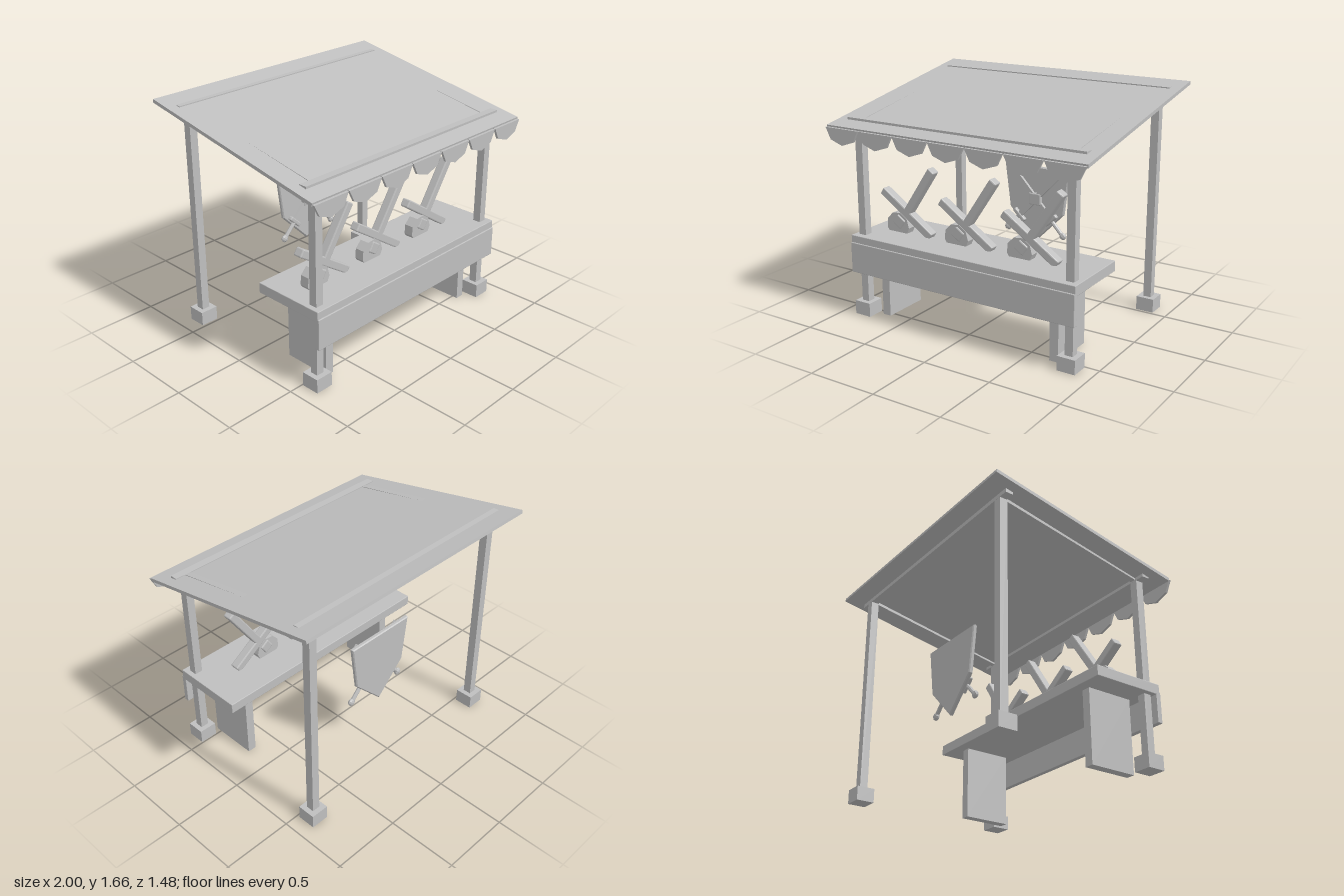
import * as THREE from 'three';
import { RoundedBoxGeometry } from 'three/addons/geometries/RoundedBoxGeometry.js';

export function createModel() {
  const model = new THREE.Group();
  model.name = 'marketStall';
  const grey = new THREE.MeshStandardMaterial({ color: 0xbfbfbf, flatShading: true });
  grey.name = 'plain grey';

  const add = (parent, name, geometry, x = 0, y = 0, z = 0) => {
    const mesh = new THREE.Mesh(geometry, grey);
    mesh.name = name;
    mesh.position.set(x, y, z);
    parent.add(mesh);
    return mesh;
  };
  const box = (w, h, d) => new THREE.BoxGeometry(w, h, d);
  const softBox = (w, h, d, r = 0.008) => new RoundedBoxGeometry(w, h, d, 1, r);
  const group = (name, x, y, z) => {
    const g = new THREE.Group();
    g.name = name;
    g.position.set(x, y, z);
    model.add(g);
    return g;
  };

  // Sloping roof with its cross beams and rafters
  add(model, 'roof', box(2, 0.024, 1.485), 0, 1.51, -0.01).rotation.x = 0.184;
  add(model, 'frontBeam', box(1.85, 0.052, 0.055), 0, 1.399, 0.569);
  add(model, 'rearBeam', box(1.85, 0.05, 0.055), 0, 1.607, -0.588);
  for (const s of [-1, 1]) {
    add(model, 'rafter', box(0.04, 0.042, 1.17), s * 0.83, 1.501, -0.01).rotation.x = 0.1772;
    // Posts and feet
    for (const [z, top] of [[0.572, 1.4], [-0.585, 1.6]]) {
      add(model, 'post', box(0.058, top, 0.058), s * 0.831, top / 2, z);
      add(model, 'postFoot', box(0.13, 0.1, 0.13), s * 0.831, 0.05, z);
    }
    // Counter side panels
    add(model, 'counterLeg', box(0.064, 0.53, 0.35), s * 0.689, 0.265, 0.366);
  }

  // Scalloped valance along the front edge
  const scallop = new THREE.Shape();
  scallop.moveTo(-0.14, 0);
  for (let i = 1; i <= 4; i++) {
    const a = Math.PI * (1 + i / 4);
    scallop.lineTo(0.14 * Math.cos(a), 0.115 * Math.sin(a));
  }
  const scallopGeo = new THREE.ExtrudeGeometry(scallop, { depth: 0.018, bevelEnabled: false });
  for (let i = 0; i < 7; i++) {
    add(model, 'valanceScallop', scallopGeo, (i - 3) * 2 / 7, 1.374, 0.72);
  }

  // Counter top and front apron
  add(model, 'counterTop', softBox(1.79, 0.074, 0.534, 0.004), 0, 0.561, 0.381);
  add(model, 'counterApron', softBox(1.79, 0.22, 0.037, 0.004), 0, 0.435, 0.638);

  // Three leaning wooden goods: bar, stick, wheel and hub
  for (let i = 0; i < 3; i++) {
    const g = group('displayItem', -0.59 + 0.505 * i, 0.742, 0.386);
    const tilt = -0.588;
    add(g, 'itemBar', softBox(0.5, 0.058, 0.066)).rotation.z = tilt;
    const stick = add(g, 'itemStick', softBox(0.058, 0.41, 0.066),
      -0.205 * Math.sin(tilt), 0.205 * Math.cos(tilt), 0);
    stick.rotation.z = tilt;
    const wheelGeo = new THREE.CylinderGeometry(0.098, 0.098, 0.068, 9).rotateX(Math.PI / 2);
    add(g, 'itemWheel', wheelGeo, -0.07, -0.096, 0).rotation.z = 0.1;
    add(g, 'itemHub', softBox(0.078, 0.078, 0.086), -0.055, -0.066, 0).rotation.z = tilt;
  }

  // Hanging shield
  const outline = new THREE.Shape([[-0.264, 0.985], [-0.22, 0.66], [0, 0.438], [0.22, 0.66], [0.264, 0.985]]
    .map(([x, y]) => new THREE.Vector2(x, y)));
  add(model, 'shield', new THREE.ExtrudeGeometry(outline,
    { depth: 0.018, bevelEnabled: true, bevelSize: 0.007, bevelThickness: 0.007, bevelSegments: 1 }), 0, 0, -0.398);
  add(model, 'shieldBoss', softBox(0.1, 0.09, 0.036), 0, 0.752, -0.361);

  // Two crossed swords mounted on the shield face
  for (const s of [-1, 1]) {
    const g = group('sword', s * 0.135, 0.61, -0.36);
    g.rotation.z = s * 0.76;
    add(g, 'blade', box(0.042, 0.49, 0.022), 0, 0.245, 0);
    add(g, 'guard', softBox(0.12, 0.032, 0.034), 0, 0, 0);
    add(g, 'grip', new THREE.CylinderGeometry(0.015, 0.015, 0.12, 8), 0, -0.07, 0);
    add(g, 'pommel', new THREE.SphereGeometry(0.028, 8, 6), 0, -0.145, 0).scale.z = 0.7;
  }
  return model;
}
